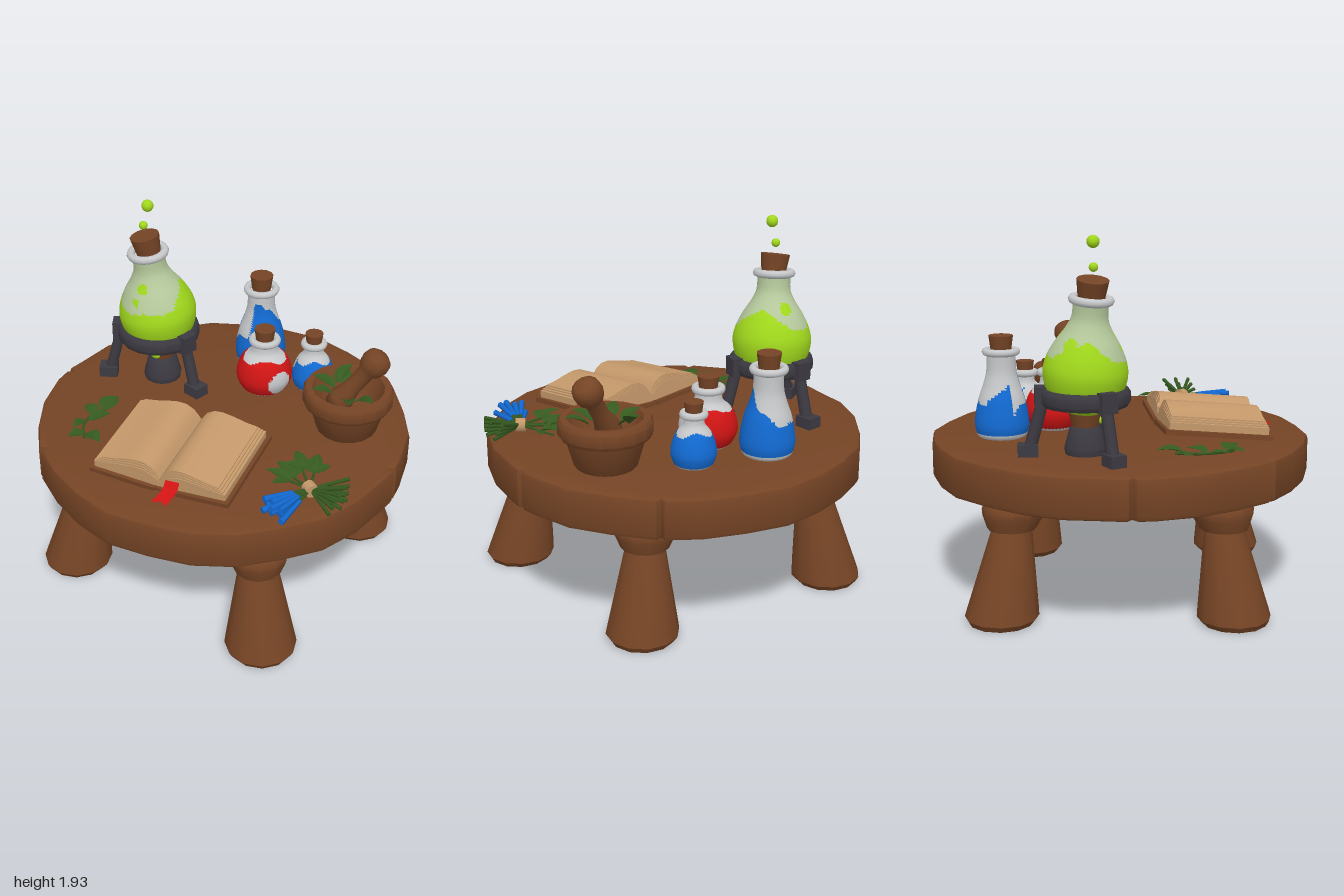
import * as THREE from 'three';
import { toCreasedNormals } from 'three/addons/utils/BufferGeometryUtils.js';

const paint = (name, color, side = THREE.FrontSide) => {
  const m = new THREE.MeshStandardMaterial({ color, side });
  m.name = name;
  return m;
};
const V = (x, y, z) => new THREE.Vector3(x, y, z);

export function createModel() {
  const model = new THREE.Group();
  const wood = paint('wood', 0x754425), paper = paint('parchment', 0xc4986a);
  const metal = paint('dark metal', 0x3c3a41), glass = paint('glass', 0xc6c8ca);
  const tinted = paint('tinted glass', 0xb5c99c), lime = paint('lime liquid', 0xa0d81c);
  const blue = paint('blue', 0x126ad2), red = paint('red', 0xd01414, THREE.DoubleSide);
  const green = paint('leaf green', 0x365a20, THREE.DoubleSide);

  const add = (parent, name, geo, mat, x = 0, y = 0, z = 0) => {
    const m = new THREE.Mesh(geo, mat);
    m.name = name;
    m.position.set(x, y, z);
    parent.add(m);
    return m;
  };
  const group = (name, x = 0, y = 0, z = 0) => {
    const g = new THREE.Group();
    g.name = name;
    g.position.set(x, y, z);
    model.add(g);
    return g;
  };
  const lathe = (pts, sides) => new THREE.LatheGeometry(pts.map(p => new THREE.Vector2(...p)), sides);
  const smoothLathe = pts =>
    new THREE.LatheGeometry(new THREE.SplineCurve(pts.map(p => new THREE.Vector2(...p))).getPoints(44)
      .map(p => p.setX(Math.max(0, p.x))), 40);
  // tapered rod between two points
  const rod = (parent, name, a, b, ra, rb, mat, sides = 6) => {
    const d = b.clone().sub(a);
    const m = add(parent, name, new THREE.CylinderGeometry(rb, ra, d.length(), sides), mat);
    m.position.copy(a).addScaledVector(d, 0.5);
    m.quaternion.setFromUnitVectors(V(0, 1, 0), d.normalize());
    return m;
  };
  // sort triangles into material groups: 1 where filled(angle, y) holds, else 0
  const fill = (geo, filled) => {
    const p = geo.attributes.position, idx = geo.index.array, sets = [[], []];
    for (let i = 0; i < idx.length; i += 3) {
      const t = [idx[i], idx[i + 1], idx[i + 2]], mean = f => t.reduce((s, k) => s + p[f](k), 0) / 3;
      sets[filled(Math.atan2(mean('getX'), mean('getZ')), mean('getY')) ? 1 : 0].push(...t);
    }
    geo.setIndex([...sets[0], ...sets[1]]);
    geo.addGroup(0, sets[0].length, 0);
    geo.addGroup(sets[0].length, sets[1].length, 1);
    return geo;
  };

  // table top: rough round slab with notches in its rim
  const notches = [0, Math.PI, 0.81, Math.PI + 0.79];
  const rim = [];
  for (let i = 0; i < 28; i++) {
    const a = (i + 0.5) / 28 * Math.PI * 2;
    if (notches.every(n => Math.abs(a - n) > 0.06)) rim.push([a, 0.968 + 0.008 * Math.sin(i * 2.3)]);
  }
  notches.forEach(n => rim.push([n - 0.03, 0.97], [n, 0.935], [n + 0.03, 0.97]));
  rim.sort((p, q) => p[0] - q[0]);
  const slab = new THREE.Shape(rim.map(([a, r]) => new THREE.Vector2(r * Math.cos(a), r * Math.sin(a))));
  const slabGeo = new THREE.ExtrudeGeometry(slab, {
    depth: 0.16, bevelThickness: 0.028, bevelSize: 0.025, bevelSegments: 2, curveSegments: 1 });
  slabGeo.rotateX(-Math.PI / 2);
  add(model, 'tableTop', toCreasedNormals(slabGeo, 0.5), wood, 0, 0.66, 0);

  // four splayed legs with pegs into the top
  [[-0.63, 0.54], [0.585, 0.67], [0.62, -0.49], [-0.55, -0.63]].forEach(([x, z]) => {
    const leg = group('tableLeg', x, 0, z);
    const geo = lathe([[0, 0], [0.165, 0], [0.187, 0.03], [0.18, 0.07], [0.107, 0.44], [0.098, 0.47],
      [0.125, 0.475], [0.155, 0.54], [0.162, 0.57], [0.155, 0.6], [0.135, 0.615], [0, 0.615]], 12);
    const p = geo.attributes.position;
    for (let i = 0; i < p.count; i++) {
      const y = p.getY(i);
      p.setX(i, p.getX(i) - x * 0.2 * y);
      p.setZ(i, p.getZ(i) - z * 0.2 * y);
    }
    add(leg, 'legPost', toCreasedNormals(geo, 0.7), wood);
    add(leg, 'legPeg', new THREE.CylinderGeometry(0.05, 0.05, 0.07, 10), paper, -x * 0.13, 0.635, -z * 0.13);
  });

  // bottle neck ring and cork
  const stopper = (parent, y, lip, tube, cork, h) => {
    const ring = add(parent, 'bottleLip', new THREE.TorusGeometry(lip, tube, 8, 20), glass, 0, y, 0);
    ring.rotation.x = Math.PI / 2;
    return add(parent, 'cork', new THREE.CylinderGeometry(cork * 1.1, cork * 0.9, h, 12), wood, 0, y + h / 2, 0);
  };

  // large tilted flask with bubbles
  const flask = group('largeFlask', -0.51, 1.25, -0.2);
  flask.rotation.set(0.08, 0, 0.09);
  const drops = [[0.1, 0.215, 0.026], [-0.1, 0.15, 0.018], [2.9, 0.2, 0.03], [-2.2, 0.17, 0.03]];
  add(flask, 'flaskBody', fill(smoothLathe([[0, -0.2], [0.1, -0.18], [0.18, -0.1], [0.21, 0], [0.198, 0.08],
    [0.16, 0.16], [0.115, 0.23], [0.09, 0.29], [0.088, 0.37]]), (a, y) =>
    y < 0.095 + 0.09 * Math.max(0, Math.cos(1.7 * (a - 2))) + 0.006 * Math.sin(7 * a) ||
    drops.some(([b, h, r]) => Math.hypot((a - b) * 0.12, y - h) < r)), [tinted, lime]);
  stopper(flask, 0.375, 0.092, 0.022, 0.073, 0.1).rotation.z = 0.1;
  [[-0.56, 1.78, 0.023], [-0.53, 1.9, 0.032]].forEach(([x, y, r]) =>
    add(model, 'bubble', new THREE.SphereGeometry(r, 12, 8), lime, x, y, -0.16));

  // tripod stand
  const stand = group('tripod', -0.51, 0, -0.2);
  add(stand, 'standRing', toCreasedNormals(lathe([[0.17, 1.1], [0.212, 1.1], [0.225, 1.12], [0.225, 1.165],
    [0.212, 1.185], [0.17, 1.185], [0.17, 1.1]], 18), 0.6), metal);
  [-1.11, 1.3, 3.17].forEach(a => {
    const s = Math.sin(a), c = Math.cos(a);
    rod(stand, 'standLeg', V(0.275 * s, 0.88, 0.275 * c), V(0.2 * s, 1.16, 0.2 * c), 0.032, 0.03, metal, 8);
    [[0.285, 0.878, 0.1, 0.06], [0.215, 1.145, 0.07, 0.1]].forEach(([r, y, w, h]) => {
      const b = add(stand, 'standJoint', new THREE.BoxGeometry(0.085, h, w), metal, r * s, y, r * c);
      b.rotation.y = a;
    });
  });

  // burner beneath the flask
  const burner = group('burner', -0.49, 0, -0.2);
  add(burner, 'burnerBase', toCreasedNormals(lathe([[0, 0.85], [0.1, 0.85], [0.105, 0.88], [0.08, 0.975],
    [0.07, 0.99], [0, 0.99]], 14), 0.6), metal);
  add(burner, 'burnerBody', new THREE.CylinderGeometry(0.085, 0.065, 0.08, 12), wood, 0, 1.025, 0);
  add(burner, 'burnerCollar', new THREE.CylinderGeometry(0.07, 0.07, 0.03, 12), paper, 0, 1.075, 0);
  add(burner, 'burnerSpill', new THREE.SphereGeometry(0.03, 10, 6).scale(1, 0.7, 0.4), lime, 0, 1.02, 0.075);

  // three small potions
  const potion = (name, x, z, pts, lipY, lip, cork, h, mat, filled) => {
    const g = group(name, x, 0, z);
    add(g, 'bottle', fill(smoothLathe(pts), filled), [glass, mat]);
    stopper(g, lipY, lip, 0.02, cork, h);
  };
  potion('tallBluePotion', -0.09, -0.62, [[0, 0.85], [0.11, 0.85], [0.137, 0.89], [0.14, 0.95], [0.122, 1.05],
    [0.095, 1.13], [0.078, 1.2], [0.076, 1.3]], 1.3, 0.08, 0.058, 0.085, blue,
  (a, y) => y > 0.88 && y < 1.13 + 0.1 * Math.cos(a - 0.25) - (a < -0.1 && a > -1.1 ? 0.17 : 0) + 0.01 * Math.sin(6 * a));
  potion('redPotion', 0.07, -0.35, [[0, 0.85], [0.1, 0.86], [0.145, 0.92], [0.15, 0.98], [0.125, 1.05],
    [0.075, 1.1], [0.066, 1.16]], 1.16, 0.068, 0.052, 0.07, red,
  (a, y) => y > 0.875 && y < 1.065 + 0.012 * Math.sin(3 * a) && Math.hypot((a - 1.1) * 0.15, y - 0.95) > 0.07);
  potion('smallBluePotion', 0.295, -0.5, [[0, 0.85], [0.085, 0.855], [0.112, 0.9], [0.113, 0.95], [0.09, 1.02],
    [0.055, 1.07], [0.05, 1.12]], 1.12, 0.053, 0.045, 0.065, blue,
  (a, y) => y > 0.87 && y < 1.03 + 0.015 * Math.sin(3 * a) && Math.hypot((a + 1.4) * 0.11, y - 1) > 0.05);

  // leaf pointing along its own +z, folded at the midrib
  const leafGeo = new THREE.PlaneGeometry(1, 1, 2, 5).rotateX(-Math.PI / 2).translate(0, 0, 0.5);
  const lp = leafGeo.attributes.position;
  for (let i = 0; i < lp.count; i++) {
    const z = lp.getZ(i), x = lp.getX(i) * Math.sin(Math.PI * Math.pow(Math.max(z, 0), 0.8));
    lp.setXYZ(i, x, Math.abs(x) * 0.35 + 0.12 * Math.sin(Math.PI * z), z);
  }
  leafGeo.computeVertexNormals();
  const leaf = (parent, x, y, z, turn, length, width, pitch = 0) => {
    const m = add(parent, 'leaf', leafGeo, green, x, y, z);
    m.rotation.set(-pitch, turn, 0, 'YXZ');
    m.scale.set(width, length * 0.6, length);
  };

  // mortar and pestle
  const mortar = group('mortar', 0.625, 0, -0.22);
  add(mortar, 'bowl', toCreasedNormals(lathe([[0, 0.845], [0.145, 0.845], [0.16, 0.86], [0.2, 1.0], [0.225, 1.01],
    [0.238, 1.03], [0.238, 1.085], [0.225, 1.105], [0.19, 1.105], [0.175, 1.07], [0.13, 0.98], [0, 0.96]], 18), 0.6), wood);
  const pestle = rod(mortar, 'pestle', V(-0.06, 0.99, 0.03), V(0.145, 1.3, -0.04), 1, 1, wood);
  pestle.geometry = lathe([[0, -0.2], [0.06, -0.19], [0.068, -0.13], [0.046, -0.04], [0.046, 0.08], [0.068, 0.11],
    [0.077, 0.15], [0.07, 0.19], [0.045, 0.21], [0, 0.215]], 12);
  [[-0.04, -0.05, -2.6, 0.5], [-0.08, -0.02, -1.5, 0.35], [-0.06, 0.04, -0.8, 0.4], [0.02, 0.06, 0.5, 0.4],
    [0.06, 0.05, 1.2, 0.4], [-0.1, -0.06, 2.7, 0.6]].forEach(([x, z, a, p]) =>
    leaf(mortar, x, 1.06, z, a, 0.14, 0.08, p));

  // open book, stacked page blocks on a two-part cover
  const book = group('openBook', 0.01, 0.89, 0.46);
  book.rotation.set(0.09, 0.075, 0);
  [-1, 1].forEach(s => {
    const cover = add(book, 'bookCover', new THREE.BoxGeometry(0.365, 0.025, 0.56), wood, s * 0.2, 0.002, 0);
    cover.rotation.z = s * 0.06;
  });
  add(book, 'bookSpine', new THREE.BoxGeometry(0.06, 0.02, 0.54), wood, 0, -0.012, 0);
  const arch = [[0, 0.045], [0.05, 0.07], [0.12, 0.1], [0.25, 0.124], [0.4, 0.127], [0.6, 0.115], [0.8, 0.098], [1, 0.088]];
  for (let k = 0; k < 4; k++) {
    const w = 0.36 - 0.013 * k, top = arch.map(([t, y]) => [t * w, y * (0.7 + 0.1 * k)]);
    const outline = [...top.slice(1).reverse().map(([x, y]) => [-x, y]), ...top,
      [w, 0.025], [0.03, 0.004], [-0.03, 0.004], [-w, 0.025]].reverse();
    const depth = 0.52 - 0.008 * k;
    const geo = new THREE.ExtrudeGeometry(new THREE.Shape(outline.map(p => new THREE.Vector2(...p))),
      { depth, bevelEnabled: false }).translate(0, 0, -depth / 2);
    add(book, 'pages', toCreasedNormals(geo, 0.6), paper);
  }

  // swallow-tailed ribbon curling over the book's front edge
  const ribbonGeo = new THREE.PlaneGeometry(0.078, 1, 2, 6);
  const rp = ribbonGeo.attributes.position;
  for (let i = 0; i < rp.count; i++) {
    let t = 0.5 - rp.getY(i);
    if (t > 0.99 && Math.abs(rp.getX(i)) < 0.01) t = 0.8;
    rp.setXYZ(i, rp.getX(i) + 0.01 * Math.sin(5 * t), 0.945 - 0.085 * Math.sin(t * Math.PI / 2), 0.7 + 0.135 * t);
  }
  ribbonGeo.computeVertexNormals();
  add(model, 'bookmark', ribbonGeo, red, 0.1, 0, 0);

  // loose sprig on the left
  const sprig = group('sprig');
  const stem = new THREE.CatmullRomCurve3([V(-0.57, 0.86, 0.24), V(-0.61, 0.865, 0.36), V(-0.59, 0.865, 0.46), V(-0.53, 0.86, 0.54)]);
  add(sprig, 'sprigStem', new THREE.TubeGeometry(stem, 10, 0.007, 5), green);
  [[-0.58, 0.29, 3.1, 0.15, 0.11], [-0.6, 0.33, -2.1, 0.1, 0.08], [-0.6, 0.4, 2.5, 0.13, 0.09], [-0.61, 0.4, -0.2, 0.1, 0.07],
    [-0.55, 0.5, 1.2, 0.13, 0.09], [-0.55, 0.5, -0.6, 0.1, 0.08]].forEach(([x, z, a, l, w]) => leaf(sprig, x, 0.862, z, a, l, w, 0.1));

  // tied bundle of stems, leaves and blue flowers
  const herbs = group('herbBundle', 0.71, 0.895, 0.41);
  const tie = add(herbs, 'twine', new THREE.CylinderGeometry(0.037, 0.037, 0.05, 10), paper);
  tie.rotation.set(Math.PI / 2, 0, -0.9);
  for (let i = 0; i < 12; i++) {
    const a = 0.95 + i * 0.1, y = -0.025 + 0.03 * (i * 5 % 4);
    rod(herbs, 'cutStem', V(0, 0, 0), V(0.19 * Math.sin(a), y, 0.19 * Math.cos(a)), 0.008, 0.011, green, 5);
  }
  for (let i = 0; i < 9; i++) {
    const a = -0.68 + i * 0.075, y = -0.02 + 0.024 * (i * 2 % 4), r = 0.24 + 0.02 * (i % 3);
    const mid = V(0.1 * Math.sin(a), y * 0.5, 0.1 * Math.cos(a));
    rod(herbs, 'flowerStem', V(0, 0, 0), mid, 0.01, 0.008, green, 5);
    rod(herbs, 'flower', mid, V(r * Math.sin(a), y, r * Math.cos(a)), 0.011, 0.017, blue, 6);
  }
  [[-2.0, 0.2], [-2.45, 0.24], [-2.85, 0.22], [-1.6, 0.18]].forEach(([a, r], i) => {
    const s = Math.sin(a), c = Math.cos(a), y = -0.01 + 0.02 * (i % 2);
    rod(herbs, 'leafStem', V(0, 0, 0), V(r * s, y, r * c), 0.008, 0.006, green, 5);
    [-0.9, 0, 0.9].forEach(d => leaf(herbs, r * 0.62 * s, y * 0.6, r * 0.62 * c, a + d, d ? 0.1 : 0.14, 0.065, 0.15));
  });
  return model;
}
